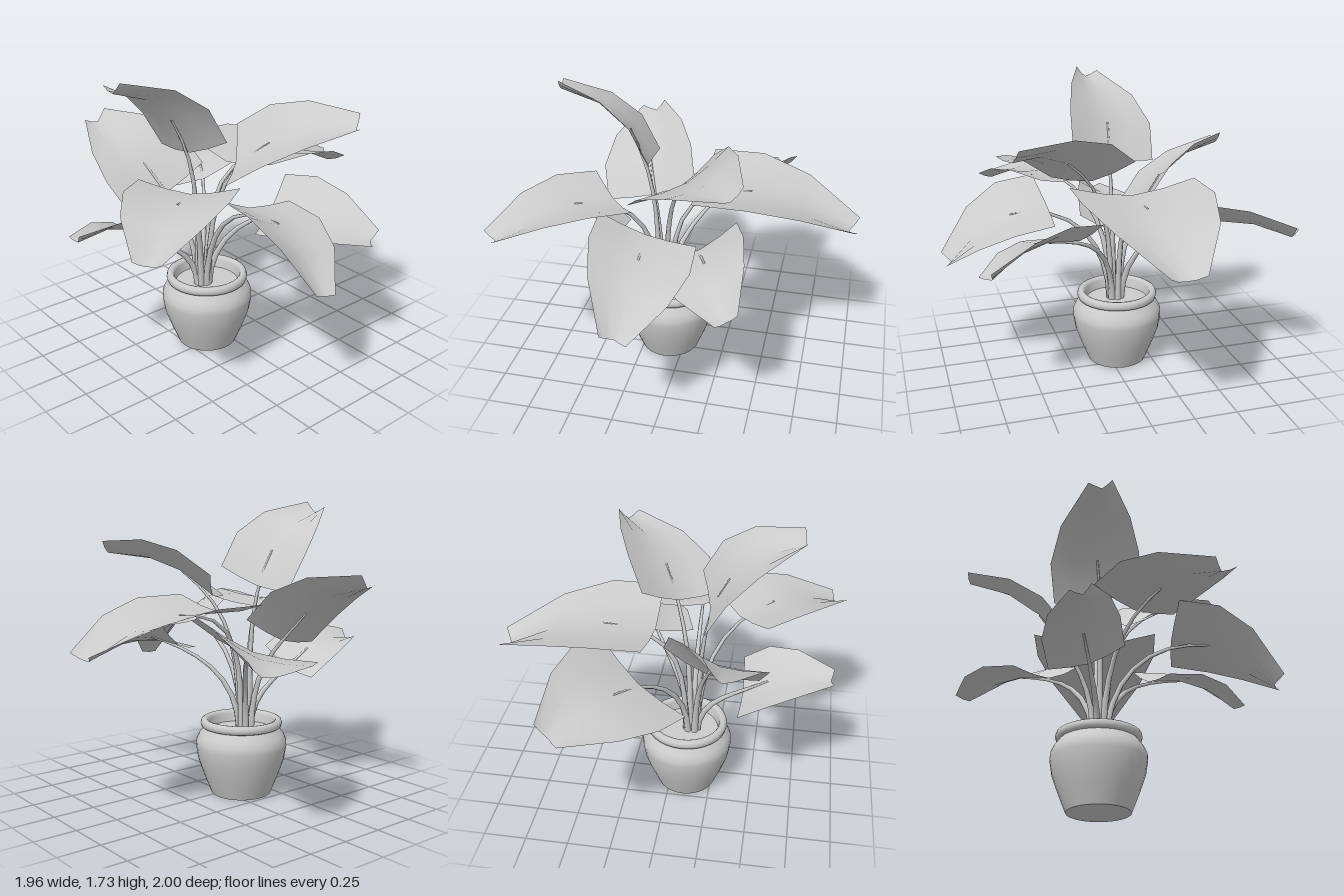
import * as THREE from 'three';

const V = (a) => new THREE.Vector3(...a);
const material = new THREE.MeshStandardMaterial({ color: 0xcccccc });
const leafMaterial = new THREE.MeshStandardMaterial({ color: 0xcccccc, side: THREE.DoubleSide });
const POT_X = -0.055, POT_Z = 0.095;

// Each leaf: midrib base, midrib tip, half-width vector at the base, arch height
const LEAVES = [
  { name: 'backLeaf', base: [-0.09, 1.1, -0.085], tip: [-0.09, 0.915, -0.95], side: [0.37, 0, 0], arch: 0.08 },
  { name: 'backRightUpperLeaf', base: [0.115, 1.175, 0.015], tip: [0.642, 1.42, -0.38], side: [0.195, -0.085, 0.205], arch: 0.075 },
  { name: 'backLeftLeaf', base: [-0.36, 0.9, -0.135], tip: [-0.9, 0.905, -0.495], side: [0.17, 0.12, -0.265], arch: 0.06 },
  { name: 'frontRightLeaf', base: [0.145, 1.085, 0.365], tip: [0.565, 0.99, 0.92], side: [0.225, 0, -0.17], arch: 0.07 },
  { name: 'rightLeaf', base: [0.36, 1.01, 0.125], tip: [0.93, 0.72, 0.155], side: [0.01, 0.08, 0.265], arch: 0.095 },
  { name: 'leftLeaf', base: [-0.255, 0.93, 0.235], tip: [-0.785, 1.265, 0.355], side: [0.01, -0.09, 0.268], arch: 0.08 },
  { name: 'frontLowLeaf', base: [-0.1, 0.725, 0.425], tip: [-0.118, 0.865, 0.915], side: [0.205, 0.07, 0], arch: 0.08 },
  { name: 'frontTopLeaf', base: [-0.045, 1.235, 0.215], tip: [-0.03, 1.66, 0.705], side: [0.255, 0.062, -0.035], arch: 0.1 },
  { name: 'rightLowLeaf', base: [0.235, 0.88, -0.15], tip: [0.775, 0.805, -0.4], side: [0.1, -0.1, 0.205], arch: 0.07 },
];

// Surface of one leaf: t runs base to tip, u runs edge to edge (-1..1)
function leafSurface({ base, tip, side, arch }) {
  const b = V(base), s = V(side), along = V(tip).sub(b);
  const up = new THREE.Vector3().crossVectors(along, s).normalize();
  if (up.y < 0) up.negate();
  const cup = 0.22 * s.length();
  const widths = [1, 1.01, 0.78, 0.26];
  return (t, u) => {
    const i = Math.min(2, Math.floor(t * 3 + 1e-6));
    const w = THREE.MathUtils.lerp(widths[i], widths[i + 1], t * 3 - i);
    const lift = 4 * arch * t * (1 - t) + cup * Math.pow(Math.abs(u), 1.5) * (1 - 0.35 * t);
    const notch = t > 0.99 ? 0.05 * Math.abs(u) : 0;
    return b.clone().addScaledVector(along, t + notch)
      .addScaledVector(s, u * w).addScaledVector(up, lift);
  };
}

function leafGeometry(surface) {
  const rows = 3, cols = 4, pos = [], index = [];
  for (let r = 0; r <= rows; r++) {
    for (let c = 0; c <= cols; c++) pos.push(...surface(r / rows, (c / cols) * 2 - 1).toArray());
  }
  for (let r = 0; r < rows; r++) {
    for (let c = 0; c < cols; c++) {
      const a = r * (cols + 1) + c, d = a + cols + 1;
      index.push(a, a + 1, d, a + 1, d + 1, d);
    }
  }
  // Wind the blade so its front is the upper side
  const across = surface(0, 1).sub(surface(0, -1)), along = surface(1, 0).sub(surface(0, 0));
  if (across.cross(along).y < 0) index.reverse();
  const g = new THREE.BufferGeometry();
  g.setAttribute('position', new THREE.Float32BufferAttribute(pos, 3));
  g.setIndex(index);
  g.computeVertexNormals();
  return g;
}

// Stalk: a tube narrowed toward its end
function stemGeometry(curve, r0, r1) {
  const segs = 8, sides = 6;
  const g = new THREE.TubeGeometry(curve, segs, r0, sides, false);
  const p = g.attributes.position, v = new THREE.Vector3();
  for (let i = 0; i <= segs; i++) {
    const centre = curve.getPointAt(i / segs);
    const k = THREE.MathUtils.lerp(1, r1 / r0, i / segs);
    for (let j = 0; j <= sides; j++) {
      const n = i * (sides + 1) + j;
      v.fromBufferAttribute(p, n).sub(centre).multiplyScalar(k).add(centre);
      p.setXYZ(n, v.x, v.y, v.z);
    }
  }
  return g;
}

function makePot() {
  const pot = new THREE.Group();
  pot.name = 'pot';
  const add = (name, pts) => {
    const g = new THREE.LatheGeometry(pts.map(([x, y]) => new THREE.Vector2(x, y)), 32);
    const m = new THREE.Mesh(g, material);
    m.name = name;
    pot.add(m);
  };
  add('potBase', [[0, 0], [0.178, 0]]);
  add('potBody', [[0.178, 0], [0.222, 0.11], [0.257, 0.21], [0.27, 0.29], [0.269, 0.325], [0.253, 0.36], [0.222, 0.402]]);
  add('potRim', [[0.222, 0.402], [0.237, 0.408], [0.243, 0.428], [0.237, 0.448], [0.222, 0.456],
    [0.205, 0.452], [0.195, 0.435], [0.185, 0.36]]);
  add('soil', [[0.19, 0.385], [0, 0.385]]);
  pot.position.set(POT_X, 0, POT_Z);
  return pot;
}

export function createModel() {
  const model = new THREE.Group();
  model.name = 'pottedPlant';
  model.add(makePot());

  for (const spec of LEAVES) {
    const surface = leafSurface(spec);
    const plant = new THREE.Group();
    plant.name = spec.name;

    const blade = new THREE.Mesh(leafGeometry(surface), leafMaterial);
    blade.name = 'blade';

    // Stalk rises steeply from the soil, then bends to run under the midrib
    const root = surface(0, 0), end = surface(0.33, 0);
    const dx = root.x - POT_X, dz = root.z - POT_Z, d = Math.hypot(dx, dz);
    const start = new THREE.Vector3(POT_X + 0.035 * dx / d, 0.38, 0.125 + 0.035 * dz / d);
    const rise = start.clone().add(new THREE.Vector3(0.05 * dx, 0.7 * (root.y - 0.38), 0.05 * dz));
    const dir = end.clone().sub(root).normalize();
    const bend = root.clone().addScaledVector(dir, -0.1);
    const curve = new THREE.CubicBezierCurve3(start, rise, bend, end);
    const stem = new THREE.Mesh(stemGeometry(curve, 0.021, 0.006), material);
    stem.name = 'stem';

    plant.add(blade, stem);
    model.add(plant);
  }
  return model;
}
